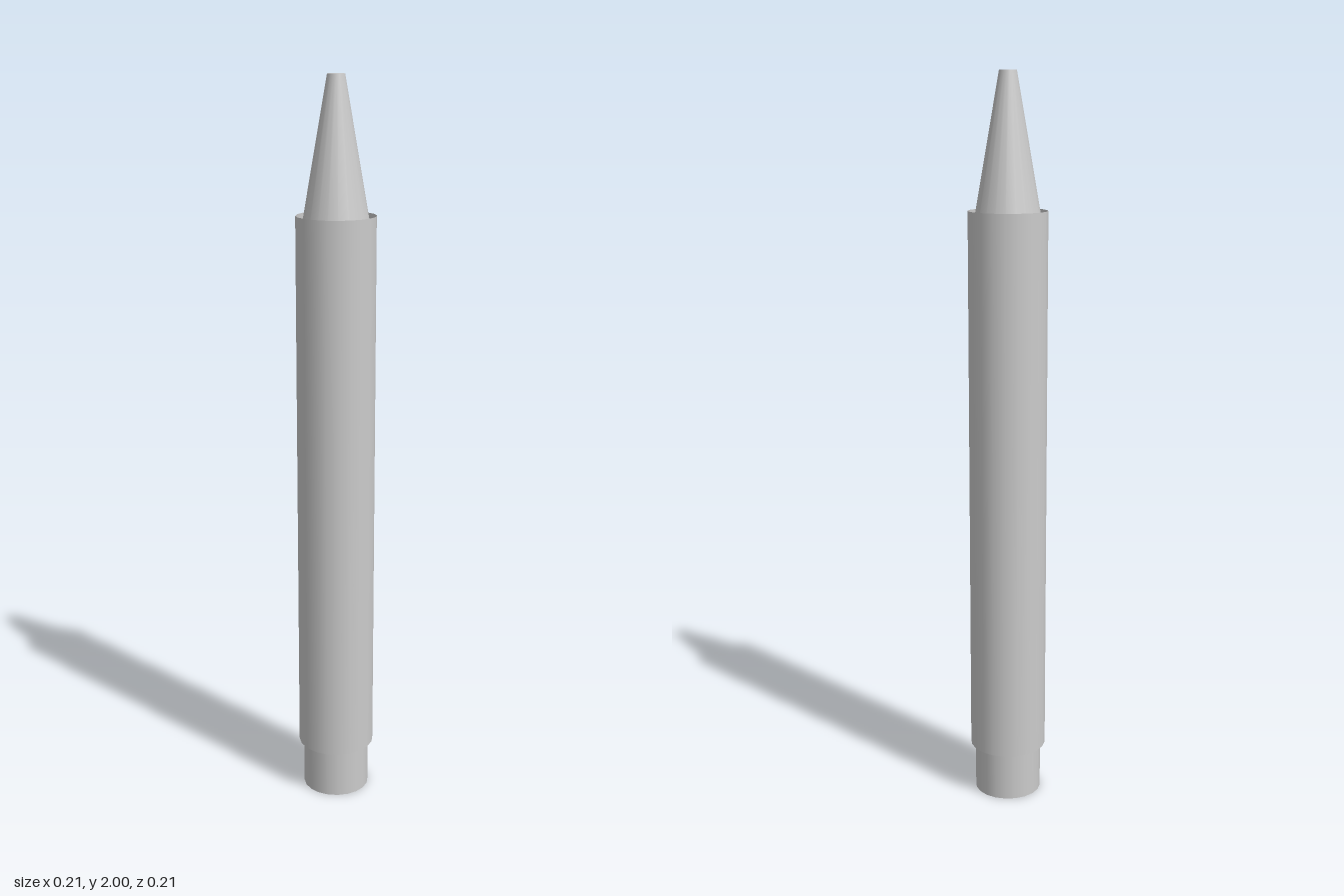
import * as THREE from 'three';

const SIDES = 20;
const BODY_R = 0.106, BODY_BOTTOM = 0.137, BODY_TOP = 1.645;
const STEM_R = 0.0925;
const TIP_R = 0.023, CONE_BOTTOM = 1.525;

export function createModel() {
  const group = new THREE.Group();
  const material = new THREE.MeshStandardMaterial({ color: 0xcccccc });
  const thin = new THREE.MeshStandardMaterial({ color: 0xcccccc, side: THREE.DoubleSide });

  // Upright round part between two heights
  function round(name, rTop, rBottom, y0, y1, open, mat) {
    const geometry = new THREE.CylinderGeometry(rTop, rBottom, y1 - y0, SIDES, 1, open);
    const mesh = new THREE.Mesh(geometry, mat);
    mesh.name = name;
    mesh.position.y = (y0 + y1) / 2;
    group.add(mesh);
  }

  // Barrel, with a thin rim standing around the nose
  round('barrel', BODY_R, BODY_R, BODY_BOTTOM, BODY_TOP, true, thin);

  // Tapered nose, sunk into the barrel until it meets the wall
  round('nose', TIP_R, BODY_R, CONE_BOTTOM, 2, false, material);

  // Narrower end plug
  round('endPlug', STEM_R, STEM_R, 0, BODY_BOTTOM + 0.02, false, material);

  // Flat underside of the barrel around the plug
  const underside = new THREE.Mesh(new THREE.RingGeometry(STEM_R - 0.005, BODY_R, SIDES), thin);
  underside.name = 'barrelUnderside';
  underside.rotation.x = Math.PI / 2;
  underside.position.y = BODY_BOTTOM;
  group.add(underside);

  return group;
}
